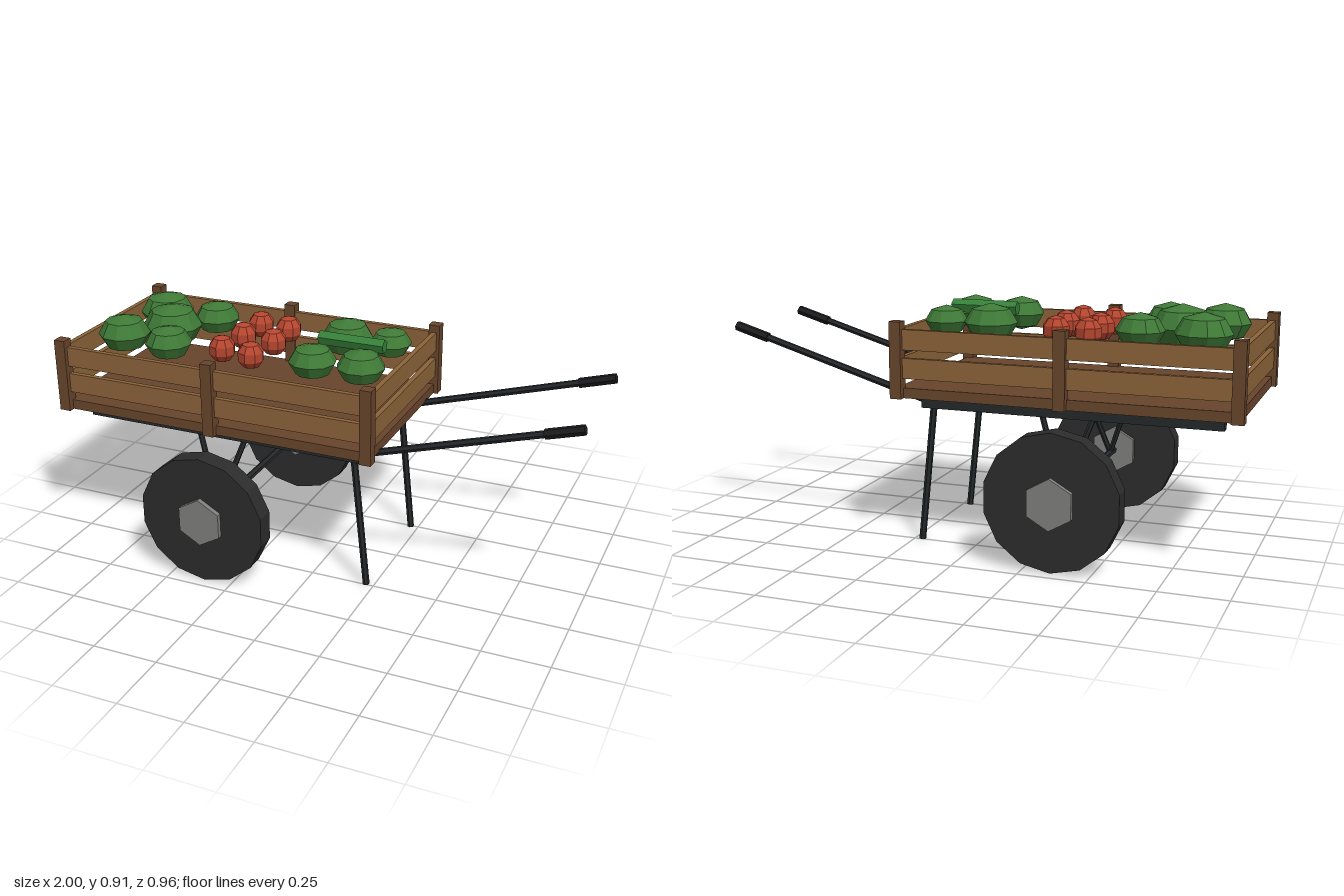
import * as THREE from 'three';

const mat = (name, color, extra = {}) => {
  const m = new THREE.MeshStandardMaterial({ color, ...extra });
  m.name = name;
  return m;
};

export function createModel() {
  const cart = new THREE.Group();
  cart.name = 'handcart';
  const flat = { flatShading: true };
  const slatWood = mat('slat wood', 0x8b6339, flat);
  const darkWood = mat('dark wood', 0x68452c, flat);
  const iron = mat('dark iron', 0x25282a, flat);
  const rubber = mat('tyre rubber', 0x2c2c2c, flat);
  const gripBlack = mat('grip black', 0x1c1c1e, flat);
  const steel = mat('hub steel', 0x7f7f7d, flat);
  const leaf = mat('leaf green', 0x3f7a37, flat);
  const cucumber = mat('cucumber green', 0x37803a, flat);
  const red = mat('tomato red', 0xb5452f, flat);

  const add = (name, geo, material, x = 0, y = 0, z = 0) => {
    const m = new THREE.Mesh(geo, material);
    m.name = name;
    m.position.set(x, y, z);
    cart.add(m);
    return m;
  };
  const box = (name, material, w, h, d, x, y, z) =>
    add(name, new THREE.BoxGeometry(w, h, d), material, x, y, z);
  // Straight rod between two points
  const rod = (name, material, a, b, r, sides = 6) => {
    const p = new THREE.Vector3(...a), q = new THREE.Vector3(...b);
    const dir = q.clone().sub(p);
    const m = add(name, new THREE.CylinderGeometry(r, r, dir.length(), sides), material);
    m.position.copy(p).add(q).multiplyScalar(0.5);
    m.quaternion.setFromUnitVectors(new THREE.Vector3(0, 1, 0), dir.normalize());
    return m;
  };

  // Tray
  const midX = -0.358;
  box('floor', darkWood, 1.25, 0.038, 0.71, midX, 0.586, 0);
  for (const s of [1, -1]) {
    for (const x of [-0.978, midX, 0.262])
      box('post', darkWood, 0.044, 0.283, 0.044, x, 0.708, s * 0.357);
    for (const y of [0.678, 0.783]) {
      box('sideSlat', slatWood, 1.24, 0.075, 0.02, midX, y, s * 0.352);
      box('endSlat', slatWood, 0.02, 0.075, 0.7, midX + s * 0.62, y, 0);
    }
  }

  // Undercarriage, wheels, legs and handles, mirrored in z
  const axleY = 0.256;
  rod('axle', iron, [midX, axleY, -0.4], [midX, axleY, 0.4], 0.014);
  for (const s of [1, -1]) {
    box('chassisRail', iron, 1.12, 0.035, 0.04, -0.36, 0.538, s * 0.265);
    for (const dx of [-0.1, 0.1])
      rod('strut', iron, [midX, axleY, s * 0.32], [midX + dx, 0.54, s * 0.265], 0.011);
    const wheel = new THREE.CylinderGeometry(0.253, 0.253, 0.075, 14).rotateX(Math.PI / 2);
    add('wheel', wheel, rubber, midX, axleY, s * 0.423);
    const hub = new THREE.CylinderGeometry(0.094, 0.094, 0.112, 6).rotateX(Math.PI / 2);
    add('hub', hub, steel, midX, axleY, s * 0.424);
    rod('leg', iron, [0.165, 0.54, s * 0.245], [0.22, 0.002, s * 0.245], 0.013);
    rod('handle', iron, [0.18, 0.537, s * 0.245], [0.96, 0.77, s * 0.245], 0.0135);
    rod('grip', gripBlack, [0.86, 0.74, s * 0.245], [0.995, 0.78, s * 0.245], 0.019);
  }

  // Cabbages: x, z, radius
  const cabbages = [
    [-0.81, -0.14, 0.106], [-0.585, -0.145, 0.09], [-0.705, 0, 0.116],
    [-0.83, 0.155, 0.1], [-0.62, 0.182, 0.09], [-0.02, -0.14, 0.1],
    [0.155, -0.145, 0.08], [-0.04, 0.145, 0.09], [0.145, 0.13, 0.09],
  ];
  cabbages.forEach(([x, z, r], i) => {
    const c = add('cabbage', new THREE.SphereGeometry(r, 10, 4), leaf, x, 0.83, z);
    c.scale.y = 0.72;
    c.rotation.y = i * 0.8;
  });

  // Tomatoes
  const tomatoes = [
    [-0.4, -0.165], [-0.278, -0.158], [-0.408, -0.025],
    [-0.27, -0.005], [-0.417, 0.135], [-0.287, 0.155],
  ];
  for (const [x, z] of tomatoes)
    add('tomato', new THREE.SphereGeometry(0.053, 8, 5), red, x, 0.818, z);

  // Cucumber: five-sided, with one edge on top
  const cuke = new THREE.CylinderGeometry(0.027, 0.027, 0.26, 5)
    .rotateX(Math.PI / 2).rotateZ(Math.PI).rotateY(Math.PI / 2);
  add('cucumber', cuke, cucumber, 0.055, 0.866, -0.003);

  return cart;
}
